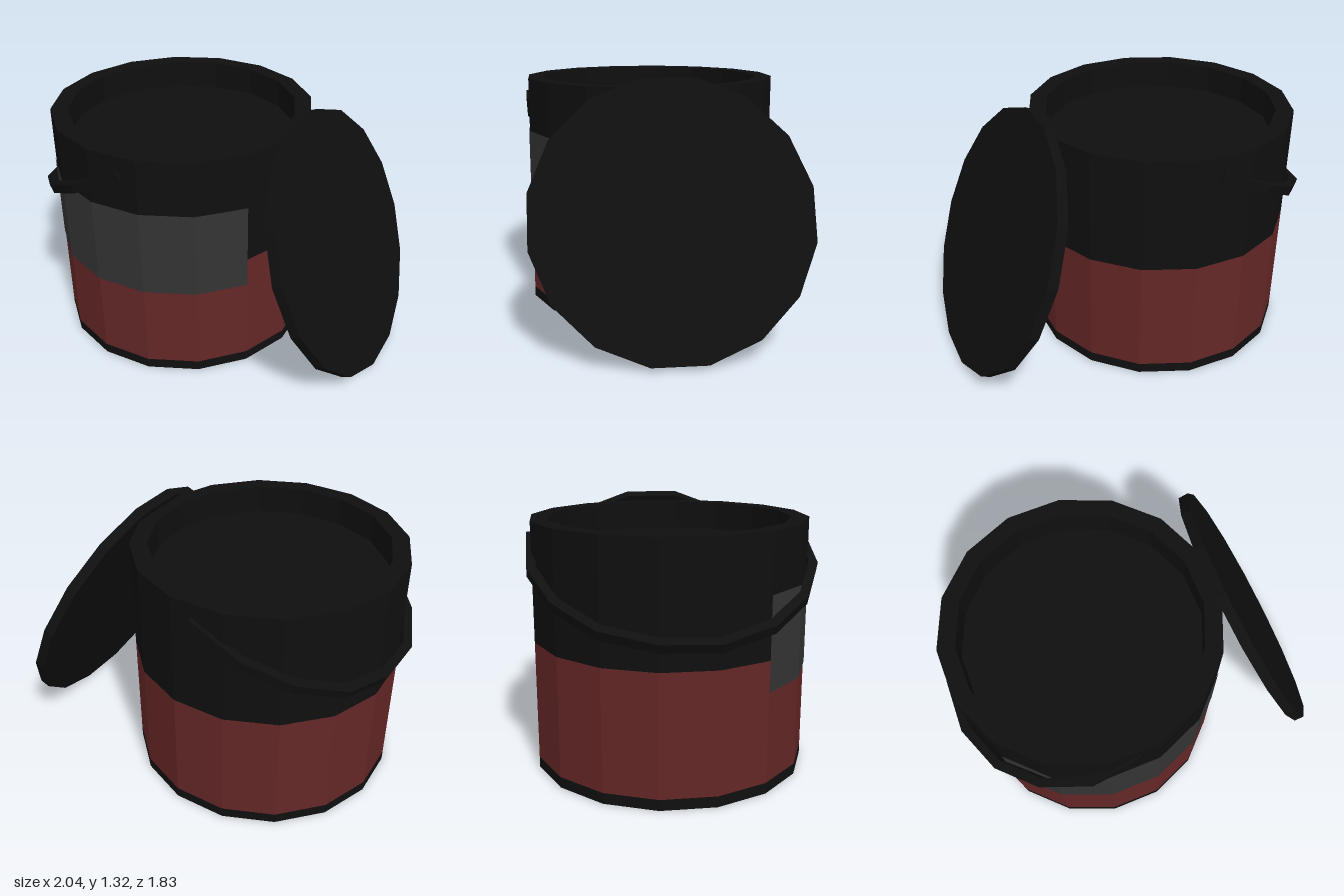
import * as THREE from 'three';

const SIDES = 16;
const STEP = (Math.PI * 2) / SIDES;
const PHASE = THREE.MathUtils.degToRad(6.5);
const CAN = { x: -0.249, z: -0.165, r: 0.7 };

function material(name, color) {
  const m = new THREE.MeshStandardMaterial({ color, flatShading: true });
  m.name = name;
  return m;
}

// Ring of the can turned from a profile of [radius, height] pairs
function turned(name, profile, mat, start = 0, count = SIDES) {
  const points = profile.map(([r, y]) => new THREE.Vector2(r, y));
  const geo = new THREE.LatheGeometry(points, count, PHASE + start * STEP, count * STEP);
  const mesh = new THREE.Mesh(geo, mat);
  mesh.name = name;
  return mesh;
}

// Square bar hanging in a tilted plane, swept through ground-plan points
function handleGeometry() {
  const outline = [
    [0.11, -0.78], [-0.13, -0.9], [-0.38, -0.91], [-0.63, -0.82], [-0.83, -0.63],
    [-0.97, -0.38], [-1.0, -0.1], [-0.93, 0.155], [-0.78, 0.355], [-0.53, 0.48],
  ];
  const slope = 0.5, thick = 0.045, half = 0.025;
  const dir = new THREE.Vector2(-0.89, -0.45);
  const normal = new THREE.Vector3(slope * dir.x, 1, slope * dir.y).normalize();
  const onPlane = (x, z) =>
    new THREE.Vector3(x, 1.17 - slope * ((x + 0.21) * dir.x + (z + 0.15) * dir.y), z);

  const pos = [], index = [];
  outline.forEach(([x, z], i) => {
    const out = new THREE.Vector2(x - CAN.x, z - CAN.z).normalize();
    const outer = onPlane(x, z);
    const inner = onPlane(x - out.x * thick, z - out.y * thick);
    for (const [p, s] of [[outer, half], [outer, -half], [inner, -half], [inner, half]]) {
      pos.push(...p.clone().addScaledVector(normal, s).toArray());
    }
    if (i === 0) return;
    for (let k = 0; k < 4; k++) {
      const a = (i - 1) * 4 + k, b = (i - 1) * 4 + ((k + 1) % 4);
      index.push(a, a + 4, b, b, a + 4, b + 4);
    }
  });
  const e = (outline.length - 1) * 4;
  index.push(0, 1, 2, 0, 2, 3, e, e + 2, e + 1, e, e + 3, e + 2);

  const geo = new THREE.BufferGeometry();
  geo.setAttribute('position', new THREE.Float32BufferAttribute(pos, 3));
  geo.setIndex(index);
  const flat = geo.toNonIndexed();
  flat.computeVertexNormals();
  return flat;
}

export function createModel() {
  const black = material('black', 0x0f0f0f);
  const red = material('darkRed', 0x642626);
  const grey = material('labelGrey', 0x333333);
  grey.side = THREE.DoubleSide;
  const handleBlack = black.clone();
  handleBlack.name = 'handleBlack';
  handleBlack.side = THREE.DoubleSide;

  const model = new THREE.Group();
  model.name = 'openCan';

  // Can: base band, painted middle, upper band with a recessed surface
  const can = new THREE.Group();
  can.name = 'can';
  can.position.set(CAN.x, 0, CAN.z);
  const r = CAN.r;
  can.add(
    turned('base', [[0, 0], [r, 0], [r, 0.055]], black),
    turned('redBand', [[r, 0.055], [r, 0.665]], red),
    turned('upperBand', [[r, 0.665], [r, 1.265], [0.61, 1.265], [0.61, 1.115], [0, 1.115]], black),
    // Label wraps five facets from the front round to the right side
    turned('label', [[r + 0.004, 0.51], [r + 0.004, 0.975]], grey, -4, 5),
  );
  model.add(can);

  // Hanging handle
  const handle = new THREE.Mesh(handleGeometry(), handleBlack);
  handle.name = 'handle';
  model.add(handle);

  // Lid leaning against the can
  const lid = new THREE.Mesh(
    new THREE.CylinderGeometry(0.71, 0.71, 0.055, SIDES, 1, false, STEP / 2), black);
  lid.name = 'lid';
  const n = new THREE.Vector3(0.82, 0.38, 0.44).normalize();
  const up = new THREE.Vector3(0, 1, 0).addScaledVector(n, -n.y).normalize();
  const side = new THREE.Vector3().crossVectors(n, up);
  lid.quaternion.setFromRotationMatrix(new THREE.Matrix4().makeBasis(side, n, up));
  lid.position.set(0.593, 0.66, 0.264);
  model.add(lid);

  return model;
}
